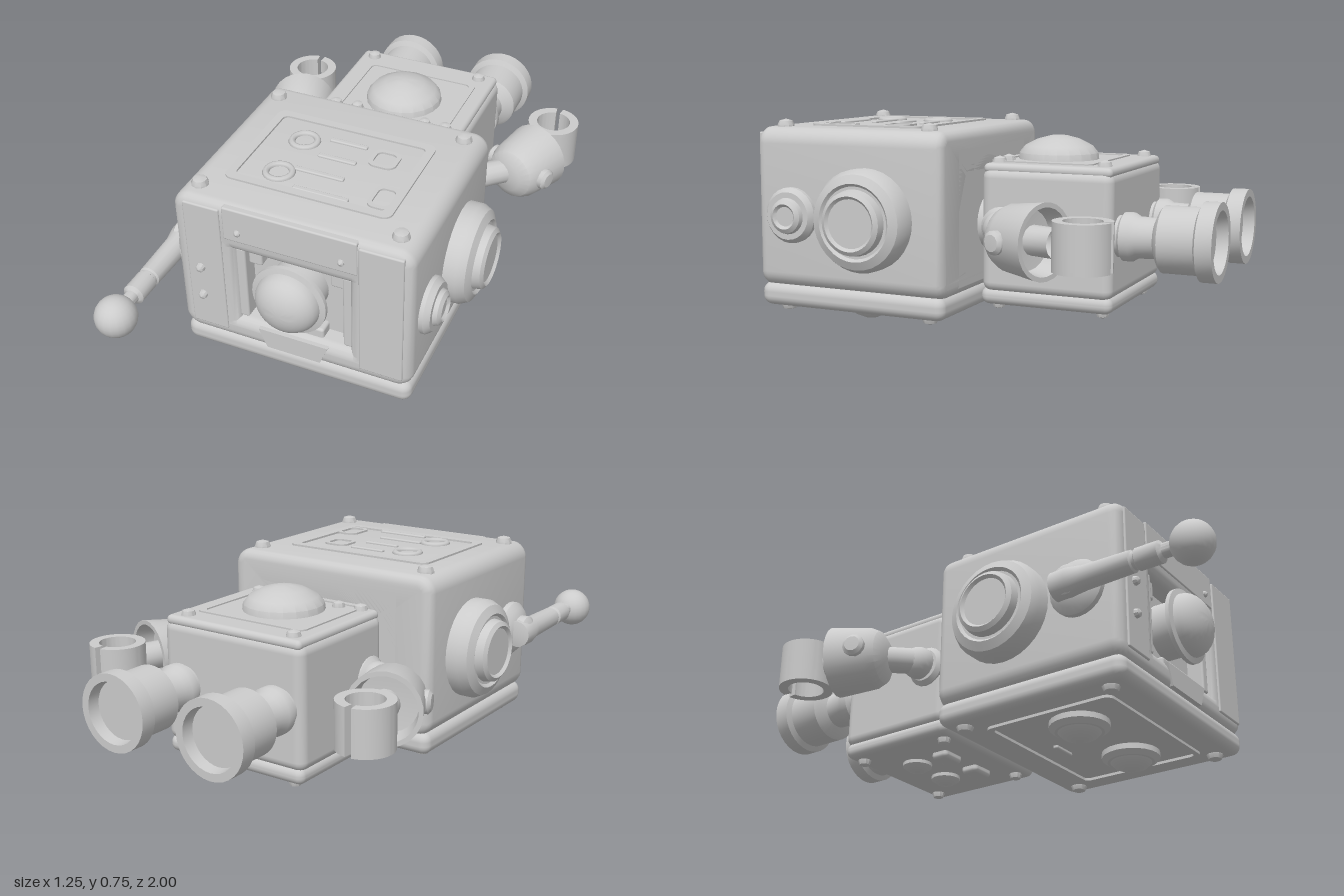
import * as THREE from 'three';
import { toCreasedNormals } from 'three/addons/utils/BufferGeometryUtils.js';
import { RoundedBoxGeometry } from 'three/addons/geometries/RoundedBoxGeometry.js';

const V = (x, y, z) => new THREE.Vector3(x, y, z);
const X = V(1, 0, 0), Y = V(0, 1, 0), Z = V(0, 0, 1);
const NX = V(-1, 0, 0), NY = V(0, -1, 0), NZ = V(0, 0, -1);

export function createModel() {
  const robot = new THREE.Group();
  robot.name = 'robot';
  const mat = new THREE.MeshStandardMaterial({ color: 0xcccccc, side: THREE.DoubleSide });

  function add(name, geo, pos = V(0, 0, 0), parent = robot) {
    const m = new THREE.Mesh(geo, mat);
    m.name = name;
    m.position.copy(pos);
    parent.add(m);
    return m;
  }
  // rounded box given by its min and max corners
  function box(name, x0, x1, y0, y1, z0, z1, r = 0.04, parent = robot) {
    const rad = Math.min(r, (x1 - x0) * 0.49, (y1 - y0) * 0.49, (z1 - z0) * 0.49);
    return add(name, new RoundedBoxGeometry(x1 - x0, y1 - y0, z1 - z0, 3, rad),
      V((x0 + x1) / 2, (y0 + y1) / 2, (z0 + z1) / 2), parent);
  }
  // turned part: [radius, height] profile spun around a given axis
  function turned(name, profile, pos, axis, seg = 32, parent = robot) {
    const geo = new THREE.LatheGeometry(profile.map(p => new THREE.Vector2(...p)), seg);
    const m = add(name, toCreasedNormals(geo, 0.6), pos, parent);
    m.quaternion.setFromUnitVectors(Y, axis.clone().normalize());
    return m;
  }
  // closed dome profile
  const dome = (r, h, base = 0) => Array.from({ length: 9 }, (_, i) => {
    const a = i / 8 * Math.PI / 2;
    return [r * Math.cos(a), base + h * Math.sin(a)];
  });
  const bolt = (name, pos, axis, r = 0.03, parent = robot) =>
    turned(name, [[r, -0.02], [r, 0.005], [r * 0.8, 0.02], [0, 0.027]], pos, axis, 10, parent);

  function rectPath(P, x0, x1, y0, y1, r) {
    const p = new P();
    p.moveTo(x0 + r, y0);
    p.lineTo(x1 - r, y0).absarc(x1 - r, y0 + r, r, -Math.PI / 2, 0);
    p.lineTo(x1, y1 - r).absarc(x1 - r, y1 - r, r, 0, Math.PI / 2);
    p.lineTo(x0 + r, y1).absarc(x0 + r, y1 - r, r, Math.PI / 2, Math.PI);
    p.lineTo(x0, y0 + r).absarc(x0 + r, y0 + r, r, Math.PI, Math.PI * 1.5);
    return p;
  }
  // thin rim lying flat on a horizontal face
  function flatRim(name, hx, hz, w, h, pos) {
    const s = rectPath(THREE.Shape, -hx, hx, -hz, hz, 0.03);
    s.holes.push(rectPath(THREE.Path, -hx + w, hx - w, -hz + w, hz - w, 0.02));
    const g = new THREE.ExtrudeGeometry(s, { depth: h, bevelEnabled: false, curveSegments: 5 });
    return add(name, g.rotateX(-Math.PI / 2), pos);
  }

  // head shell with an opening in its front
  const b = 0.035;
  const shell = rectPath(THREE.Shape, -0.43 + b, 0.43 - b, 0.14 + b, 0.72 - b, 0.025);
  shell.holes.push(rectPath(THREE.Path, -0.24, 0.24, 0.2, 0.57, 0.02));
  const shellGeo = new THREE.ExtrudeGeometry(shell, {
    depth: 0.74 - 2 * b, bevelThickness: b, bevelSize: b, bevelSegments: 4, curveSegments: 4 });
  add('headShell', toCreasedNormals(shellGeo, 0.6), V(0, 0, -0.11 + b));
  box('headCore', -0.3, 0.3, 0.16, 0.66, -0.11, 0.55, 0.01);
  box('headBase', -0.425, 0.425, 0.07, 0.155, -0.11, 0.63, 0.035);

  // face: nose, side plates and works inside the opening
  turned('nose', [[0.1, -0.1], [0.1, 0.02], [0.135, 0.03], [0.135, 0.045], ...dome(0.115, 0.08, 0.05),],
    V(0, 0.41, 0.605), Z);
  box('facePlateRight', -0.385, -0.25, 0.18, 0.7, 0.6, 0.636, 0.006);
  box('facePlateLeft', 0.245, 0.4, 0.18, 0.7, 0.6, 0.636, 0.006);
  box('brow', -0.24, 0.24, 0.585, 0.715, 0.59, 0.634, 0.006);
  for (const s of [-1, 1]) {
    box('innerPost', s * 0.195 - 0.018, s * 0.195 + 0.018, 0.24, 0.54, 0.54, 0.61, 0.008);
    box('innerTab', s * 0.15 - 0.025, s * 0.15 + 0.025, 0.47, 0.55, 0.54, 0.59, 0.008);
    bolt('browStud', V(s * 0.185, 0.625, 0.62), Z, 0.014);
  }
  box('innerSill', -0.1, 0.1, 0.22, 0.27, 0.54, 0.6, 0.01);
  const lip = new THREE.Shape([[-0.13, 0.225], [-0.1, 0.15], [0.1, 0.15], [0.13, 0.225]]
    .map(p => new THREE.Vector2(...p)));
  add('mouthLip', new THREE.ExtrudeGeometry(lip, { depth: 0.045, bevelEnabled: false }), V(0, 0, 0.59));
  for (const y of [0.315, 0.435]) bolt('plateStud', V(-0.335, y, 0.63), Z, 0.017);

  // head corner bolts, above and below
  for (const x of [-0.36, 0.355]) for (const z of [-0.03, 0.55]) {
    bolt('headBolt', V(x, 0.72, z), Y);
    bolt('headFoot', V(x, 0.073, z), NY);
  }

  // head top panel with its sockets and bars
  flatRim('topPanelRim', 0.3, 0.22, 0.03, 0.012, V(-0.01, 0.715, 0.27));
  for (const [x, z] of [[-0.15, 0.19], [-0.15, 0.39]])
    add('topSocket', new THREE.TorusGeometry(0.045, 0.012, 8, 20).rotateX(Math.PI / 2), V(x, 0.72, z));
  flatRim('topSocketFrame', 0.05, 0.05, 0.015, 0.012, V(0.15, 0.715, 0.19));
  flatRim('topSocketFrame', 0.045, 0.06, 0.015, 0.012, V(0.23, 0.715, 0.39));
  for (const [x, z, w] of [[0, 0.15, 0.14], [0, 0.25, 0.14], [-0.02, 0.35, 0.18], [0.03, 0.45, 0.2]])
    box('topBar', x - w / 2, x + w / 2, 0.71, 0.728, z - 0.01, z + 0.01, 0.005);

  // underside panel and round pads
  flatRim('bottomPanelRim', 0.32, 0.25, 0.02, 0.012, V(0, 0.06, 0.27));
  for (const s of [-1, 1])
    turned('bottomPad', [[0.105, -0.02], [0.105, 0.02], [0.085, 0.035], [0.075, 0.035], [0.06, 0.05],
      [0.025, 0.065], [0, 0.07]], V(s * 0.17, 0.07, 0.31), NY, 24);
  box('bottomBar', -0.05, 0.05, 0.058, 0.08, 0.12, 0.14, 0.006);

  // ear discs
  const ear = [[0.18, -0.02], [0.18, 0.05], [0.165, 0.08], [0.135, 0.095], [0.125, 0.085], [0.115, 0.085],
    [0.11, 0.115], [0.095, 0.125], [0.085, 0.115], [0, 0.115]];
  turned('earLeft', ear, V(0.425, 0.41, 0.18), X);
  turned('earRight', ear, V(-0.425, 0.41, 0.18), NX);
  turned('sideKnob', [[0.1, -0.02], [0.1, 0.02], [0.085, 0.04], [0.065, 0.04], [0.06, 0.055], [0.045, 0.065],
    [0.035, 0.055], [0, 0.055]], V(0.425, 0.41, 0.48), X, 24);

  // crank on the right side
  turned('crankHub', [[0.1, -0.02], [0.1, 0.03], [0.08, 0.05], [0.055, 0.06], [0.055, 0.09], [0.035, 0.105],
    [0, 0.11]], V(-0.42, 0.41, 0.48), NX, 24);
  turned('crankArm', [[0, 0], [0.05, 0.01], [0.052, 0.07], [0.042, 0.12], [0.038, 0.3], [0.032, 0.305],
    [0.032, 0.315], [0.038, 0.32], [0.038, 0.4], [0.025, 0.41], [0.025, 0.45]],
  V(-0.49, 0.405, 0.42), Z, 16);
  add('crankBall', new THREE.SphereGeometry(0.072, 20, 14), V(-0.49, 0.4, 0.928));

  // neck and torso
  turned('neck', [[0.14, 0], [0.14, 0.12]], V(0, 0.375, -0.21), Z, 24).scale.z = 0.8;
  box('torso', -0.29, 0.29, 0.165, 0.595, -0.66, -0.19, 0.035);
  box('torsoBack', -0.285, 0.285, 0.12, 0.18, -0.66, -0.185, 0.028);
  box('torsoFront', -0.28, 0.28, 0.575, 0.61, -0.655, -0.195, 0.017);
  flatRim('torsoPanelRim', 0.225, 0.185, 0.022, 0.012, V(0, 0.603, -0.38));
  turned('torsoDome', [[0.145, -0.01], [0.14, 0.03], [0.12, 0.055], [0.075, 0.078], [0.03, 0.09], [0, 0.092]],
    V(0, 0.602, -0.365), Y, 20);
  for (const x of [-0.225, 0.215]) for (const z of [-0.23, -0.61]) {
    bolt('torsoBolt', V(x, 0.605, z), Y, 0.026);
    bolt('torsoBackBolt', V(x, 0.122, z), NY, 0.024);
  }
  bolt('torsoStud', V(-0.14, 0.605, -0.24), Y, 0.024);
  bolt('torsoStud', V(0.135, 0.605, -0.23), Y, 0.024);

  // buttons under the torso
  for (const s of [-1, 1]) {
    turned('backButton', [[0.055, -0.02], [0.055, 0.015], [0.035, 0.03], [0, 0.035]],
      V(s * 0.085, 0.122, -0.47), NY, 18);
    box('backKey', s * 0.09 - 0.05, s * 0.09 + 0.05, 0.095, 0.14, -0.36, -0.29, 0.015);
  }

  // legs with hollow feet
  for (const s of [-1, 1]) {
    turned(s > 0 ? 'legLeft' : 'legRight', [[0.07, -0.03], [0.07, 0.01], [0.082, 0.02], [0.082, 0.05],
      [0.07, 0.07], [0.068, 0.13], [0.1, 0.145], [0.112, 0.155], [0.112, 0.275], [0.132, 0.285], [0.132, 0.34],
      [0.105, 0.34], [0.1, 0.3], [0, 0.3]], V(s * 0.2, 0.378, -0.66), NZ);
  }

  // arm: shoulder, forearm, cuff and open claw, built on the +x side and mirrored
  function arm(name, s) {
    const g = new THREE.Group();
    g.name = name;
    turned('shoulder', [[0.075, -0.02], [0.075, 0.01], [0.06, 0.025], [0, 0.03]], V(s * 0.285, 0.39, -0.27),
      V(s, 0, 0), 20, g);
    const path = new THREE.CatmullRomCurve3([V(s * 0.28, 0.39, -0.265), V(s * 0.335, 0.395, -0.28),
      V(s * 0.385, 0.395, -0.325), V(s * 0.46, 0.39, -0.4)]);
    add('forearm', new THREE.TubeGeometry(path, 14, 0.047, 14), undefined, g);
    add('elbow', new THREE.SphereGeometry(0.06, 16, 12), V(s * 0.325, 0.395, -0.28), g);
    const axis = V(s * 0.34, 0, -0.94).normalize();
    turned('cuff', [[0, 0], [0.06, 0.005], [0.095, 0.025], [0.112, 0.06], [0.128, 0.2], [0.112, 0.2],
      [0.1, 0.13], [0, 0.12]], V(s * 0.435, 0.39, -0.325), axis, 24, g);
    const side = V(s * 0.94, 0, 0.34);
    for (const k of [-1, 1])
      turned('cuffStud', [[0.04, 0], [0.04, 0.025], [0.028, 0.035], [0, 0.037]],
        V(s * 0.465, 0.39, -0.41).addScaledVector(side, k * 0.1), side.clone().multiplyScalar(k), 12, g);
    const c = new THREE.Shape(), a0 = Math.PI / 2 + 0.12, a1 = Math.PI * 2.5 - 0.12;
    c.absarc(0, 0, 0.097, a0, a1, false);
    c.absarc(0, 0, 0.064, a1, a0, true);
    const claw = new THREE.ExtrudeGeometry(c, { depth: 0.16, bevelEnabled: false, curveSegments: 28 });
    add('claw', toCreasedNormals(claw.rotateX(-Math.PI / 2), 0.6), V(s * 0.522, 0.31, -0.645), g);
    turned('wrist', [[0.05, 0], [0.05, 0.1]], V(s * 0.475, 0.39, -0.46), axis, 14, g);
    robot.add(g);
  }
  arm('armLeft', 1);
  arm('armRight', -1);

  return robot;
}
